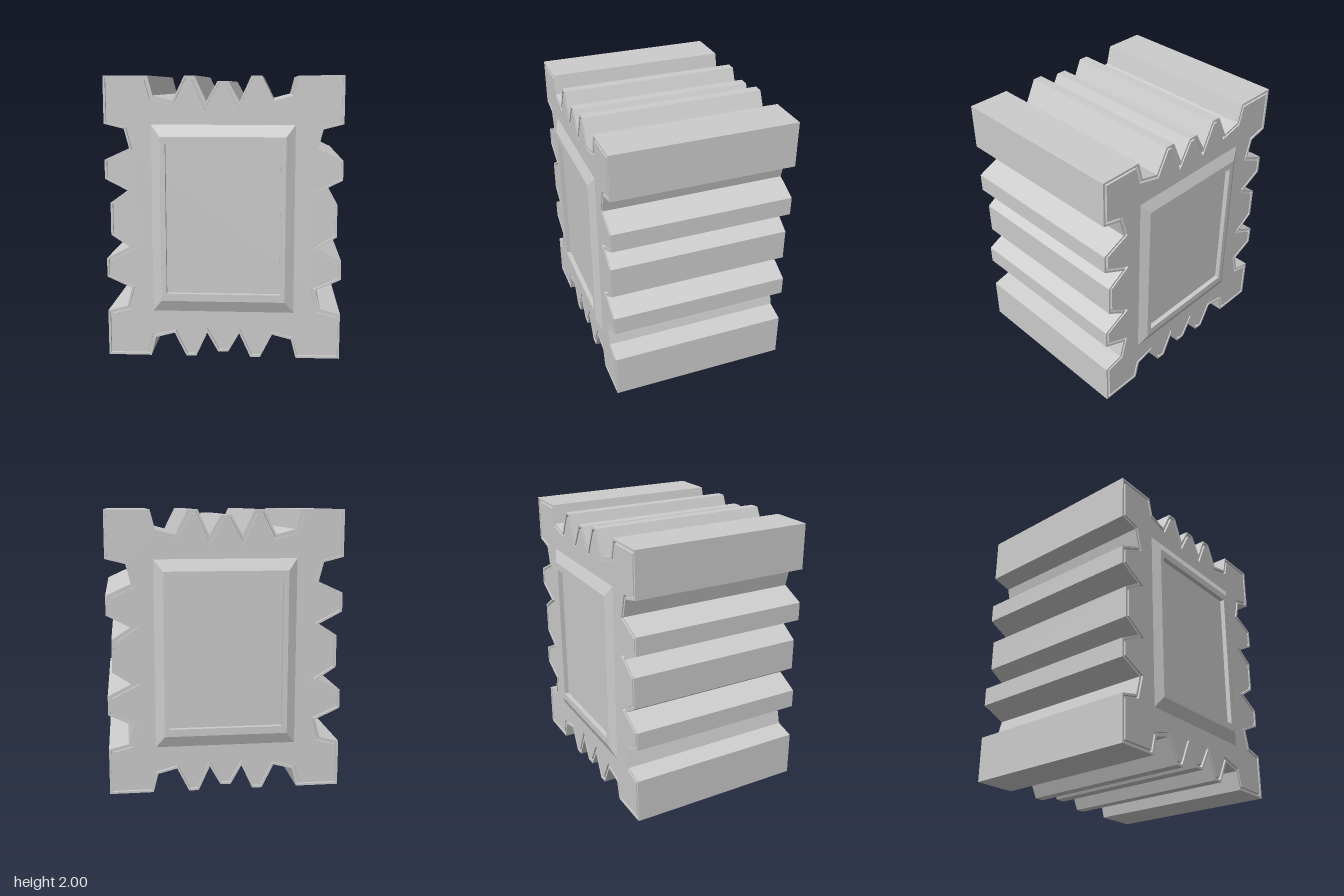
import * as THREE from 'three';

const FRONT = 0.66, GROOVE = 0.02, MID = 1;

// One quarter of the serrated outline, from the right-hand middle up to the top middle
const QUARTER = [
  [0.795, 0.115], [0.665, 0.2], [0.83, 0.285], [0.83, 0.42], [0.655, 0.5], [0.69, 0.635], [0.83, 0.67],
  [0.83, 1], [0.52, 1], [0.485, 0.865], [0.35, 0.83], [0.265, 1], [0.195, 1], [0.115, 0.825], [0.037, 0.963],
];

// Mirror the quarter into a closed counter-clockwise loop
function fullOutline() {
  const q = QUARTER.map(([x, y]) => new THREE.Vector2(x, y));
  const flip = (list, sx, sy) => list.map((p) => new THREE.Vector2(p.x * sx, p.y * sy));
  const upper = [...q, ...flip(q, -1, 1).reverse()];
  return [...upper, ...flip(upper, 1, -1).reverse()];
}

// Move every edge of the loop inwards by d
function inset(loop, d) {
  const n = loop.length;
  return loop.map((p, i) => {
    const a = p.clone().sub(loop[(i + n - 1) % n]).normalize();
    const b = loop[(i + 1) % n].clone().sub(p).normalize();
    const na = new THREE.Vector2(-a.y, a.x), nb = new THREE.Vector2(-b.y, b.x);
    const k = d / (1 + na.dot(nb));
    return p.clone().addScaledVector(na.add(nb), k);
  });
}

function extrude(outer, hole, z, depth) {
  const shape = new THREE.Shape(outer);
  if (hole) shape.holes.push(new THREE.Path(hole));
  return new THREE.ExtrudeGeometry(shape, { depth, bevelEnabled: false }).translate(0, 0, z);
}

// Rectangular frame lofted through [halfWidth, halfHeight, z] sections
function rectLoft(sections) {
  const corners = [[1, 1], [-1, 1], [-1, -1], [1, -1]];
  const pos = [];
  const at = (s, c) => [corners[c % 4][0] * s[0], corners[c % 4][1] * s[1], s[2]];
  for (let i = 0; i + 1 < sections.length; i++) {
    for (let c = 0; c < 4; c++) {
      const a = at(sections[i], c), b = at(sections[i], c + 1);
      const e = at(sections[i + 1], c), f = at(sections[i + 1], c + 1);
      pos.push(...a, ...b, ...f, ...a, ...f, ...e);
    }
  }
  const g = new THREE.BufferGeometry();
  g.setAttribute('position', new THREE.Float32BufferAttribute(pos, 3));
  g.computeVertexNormals();
  return g;
}

export function createModel() {
  const model = new THREE.Group();
  model.name = 'serratedBlock';
  const grey = new THREE.MeshStandardMaterial({ color: 0xcccccc });
  grey.name = 'grey';
  const add = (parent, name, geometry) => {
    const mesh = new THREE.Mesh(geometry, grey);
    mesh.name = name;
    parent.add(mesh);
  };

  const outline = fullOutline();
  const rimInner = inset(outline, 0.015);
  const panelOutline = inset(outline, 0.03);
  const floor = FRONT - GROOVE;

  // Ridged body, whose ends form the groove floors
  add(model, 'body', extrude(outline, null, -floor, floor * 2));

  // Identical front and back: rim, inner panel and bevelled frame
  for (const side of ['front', 'back']) {
    const face = new THREE.Group();
    face.name = side + 'Face';
    add(face, side + 'Rim', extrude(outline, rimInner, floor, GROOVE));
    add(face, side + 'Panel', extrude(panelOutline, null, floor, GROOVE));
    add(face, side + 'Frame', rectLoft([
      [0.5, 0.665, FRONT], [0.437, 0.583, 0.695], [0.4, 0.53, 0.695], [0.4, 0.53, FRONT],
    ]));
    if (side === 'back') face.rotation.y = Math.PI;
    model.add(face);
  }

  // Stand the block on the ground
  for (const part of model.children) part.position.y = MID;
  return model;
}
